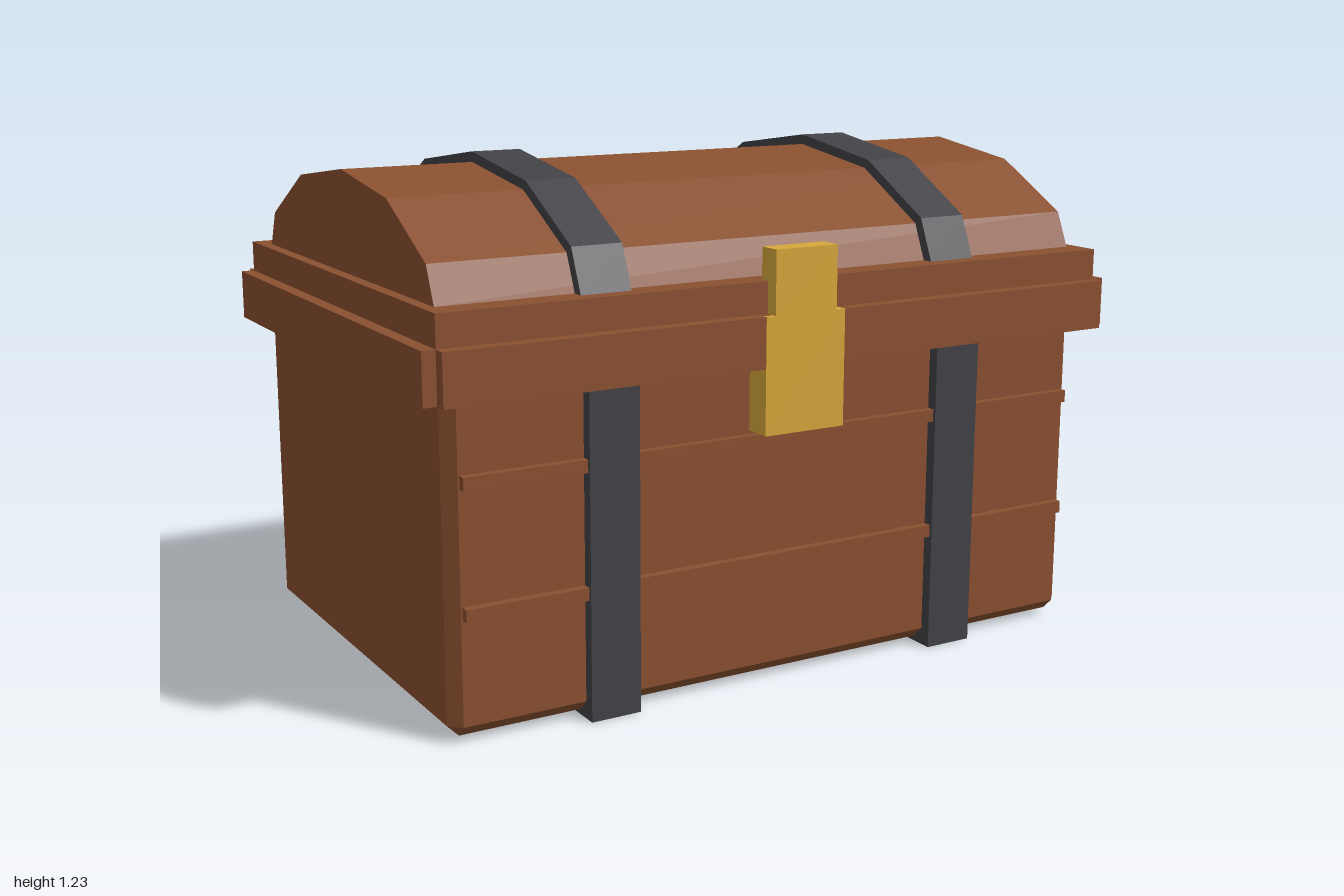
import * as THREE from 'three';
import { ConvexGeometry } from 'three/addons/geometries/ConvexGeometry.js';

export function createModel() {
  const model = new THREE.Group();
  model.name = 'treasureChest';
  model.rotation.y = -THREE.MathUtils.degToRad(8);

  const material = (name, color) => {
    const m = new THREE.MeshStandardMaterial({ color });
    m.name = name;
    return m;
  };
  const wood = material('brownWood', 0x8a5030);
  const iron = material('darkIron', 0x424247);
  const brass = material('brass', 0xd6a73a);

  const add = (name, geometry, mat) => {
    const mesh = new THREE.Mesh(geometry, mat);
    mesh.name = name;
    model.add(mesh);
    return mesh;
  };
  // Box given by its low and high limits on each axis
  const block = (name, mat, [x0, x1], [y0, y1], [z0, z1]) =>
    add(name, new THREE.BoxGeometry(x1 - x0, y1 - y0, z1 - z0), mat)
      .position.set((x0 + x1) / 2, (y0 + y1) / 2, (z0 + z1) / 2);

  // Arched bar: half profile (z, y) mirrored and extruded along x
  const arch = (name, mat, half, width, x) => {
    const mirrored = half.slice(0, -1).reverse().map(([z, y]) => [-z, y]);
    const shape = new THREE.Shape([...half, ...mirrored].map(([z, y]) => new THREE.Vector2(z, y)));
    const geometry = new THREE.ExtrudeGeometry(shape, { depth: width, bevelEnabled: false });
    geometry.translate(0, 0, -width / 2).rotateY(Math.PI / 2);
    add(name, geometry, mat).position.x = x;
  };

  // Body with chamfered upright and bottom edges
  const a = 0.862, b = 0.56, c = 0.028, base = 0.013, top = 0.85;
  const corners = [];
  for (const sx of [-1, 1]) for (const sz of [-1, 1]) {
    for (const y of [base + c, top]) {
      corners.push(new THREE.Vector3(sx * a, y, sz * (b - c)));
      corners.push(new THREE.Vector3(sx * (a - c), y, sz * b));
    }
    corners.push(new THREE.Vector3(sx * (a - c), base, sz * (b - c)));
  }
  add('body', new ConvexGeometry(corners), wood);

  // Plank battens on the front and back
  for (const s of [-1, 1]) for (const y of [0.3, 0.592]) {
    const z = [s * 0.55, s * 0.58].sort((p, q) => p - q);
    block('batten', wood, [-0.83, 0.83], [y - 0.015, y + 0.015], z);
  }

  // Rim: inner frame with a plate on each side, open at the corners
  block('rim', wood, [-0.89, 0.89], [0.77, 0.965], [-0.595, 0.595]);
  for (const s of [-1, 1]) {
    const span = (p, q) => (s > 0 ? [p, q] : [-q, -p]);
    block('rimSidePlate', wood, span(0.88, 0.922), [0.77, 0.89], [-0.595, 0.595]);
    block('rimLongPlate', wood, [-0.89, 0.89], [0.77, 0.89], span(0.585, 0.627));
  }

  // Faceted lid
  arch('lid', wood, [[0.525, 0.95], [0.525, 0.965], [0.488, 1.05], [0.276, 1.165], [0, 1.203]], 2 * a, 0);

  // Iron straps around the body and over the lid
  for (const x of [-0.472, 0.472]) {
    block('bodyStrap', iron, [x - 0.0625, x + 0.0625], [0, 0.8], [-0.588, 0.588]);
    arch('lidStrap', iron, [[0.553, 0.95], [0.553, 0.965], [0.51, 1.065], [0.29, 1.186], [0, 1.228]], 0.125, x);
  }

  // Lock plate and hasp
  block('lockPlate', brass, [-0.107, 0.107], [0.615, 0.89], [0.55, 0.628]);
  block('hasp', brass, [-0.083, 0.083], [0.88, 1.04], [0.57, 0.628]);

  const root = new THREE.Group();
  root.name = 'chest';
  root.add(model);
  return root;
}
